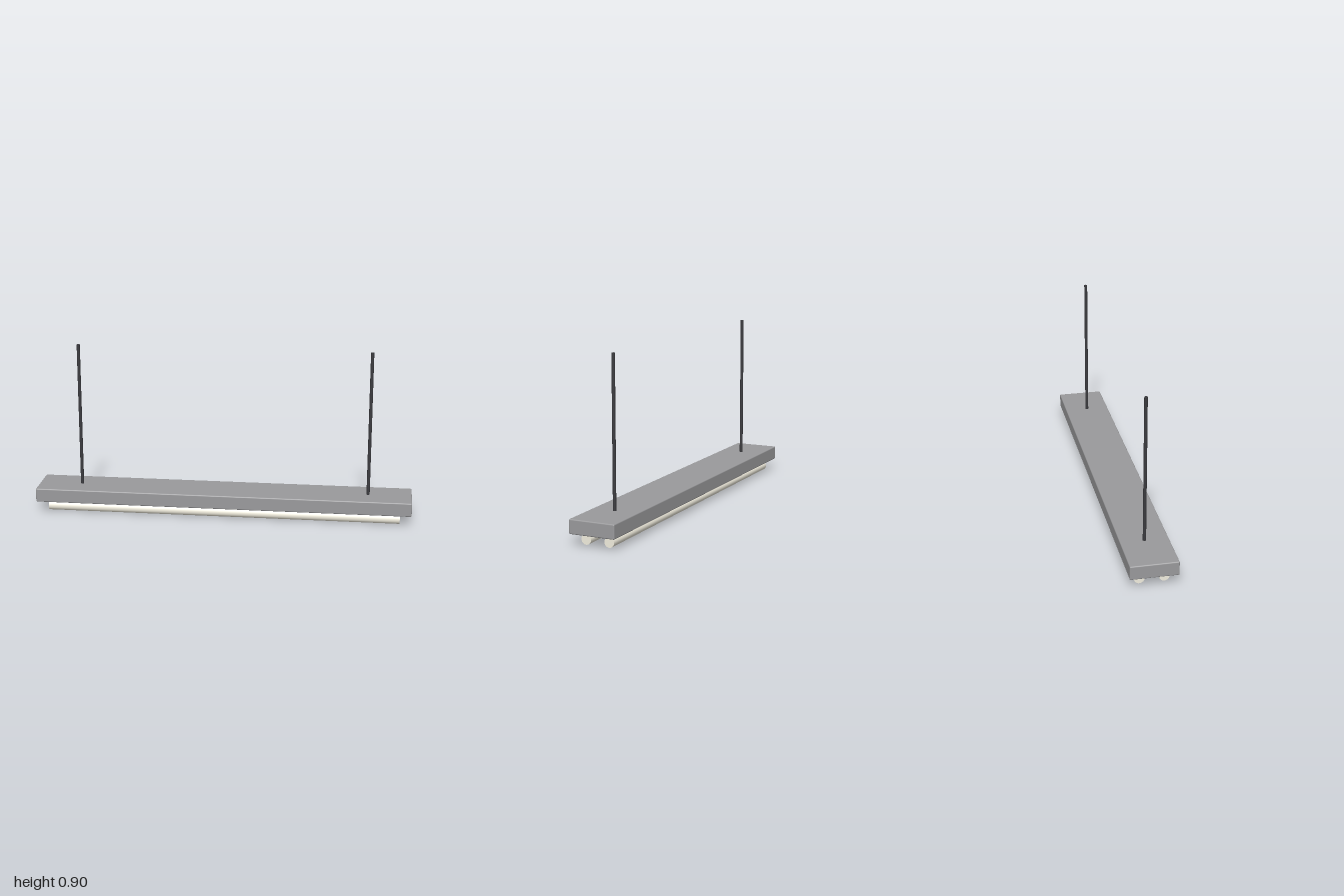
import * as THREE from 'three';
import { RoundedBoxGeometry } from 'three/addons/geometries/RoundedBoxGeometry.js';

export function createModel() {
  const group = new THREE.Group();
  const housingMat = new THREE.MeshStandardMaterial({ color: 0x9a9a9c });
  const tubeMat = new THREE.MeshStandardMaterial({ color: 0xf2eedf });
  const rodMat = new THREE.MeshStandardMaterial({ color: 0x3a3a3e });

  const add = (name, geometry, material, x, y, z) => {
    const mesh = new THREE.Mesh(geometry, material);
    mesh.name = name;
    mesh.position.set(x, y, z);
    group.add(mesh);
    return mesh;
  };

  // Long flat lamp housing with slightly softened edges
  add('housing', new RoundedBoxGeometry(2, 0.074, 0.244, 3, 0.006), housingMat, 0, 0.097, 0);

  // Two light tubes below the housing, two hanging rods above it
  const tubeGeo = new THREE.CylinderGeometry(0.026, 0.026, 1.88, 32).rotateZ(Math.PI / 2);
  const rodGeo = new THREE.CylinderGeometry(0.0085, 0.0085, 0.78, 16);
  for (const s of [1, -1]) {
    add(s > 0 ? 'frontTube' : 'backTube', tubeGeo, tubeMat, 0, 0.026, s * 0.062);
    add(s > 0 ? 'leftRod' : 'rightRod', rodGeo, rodMat, s * 0.77, 0.514, 0);
  }
  return group;
}
